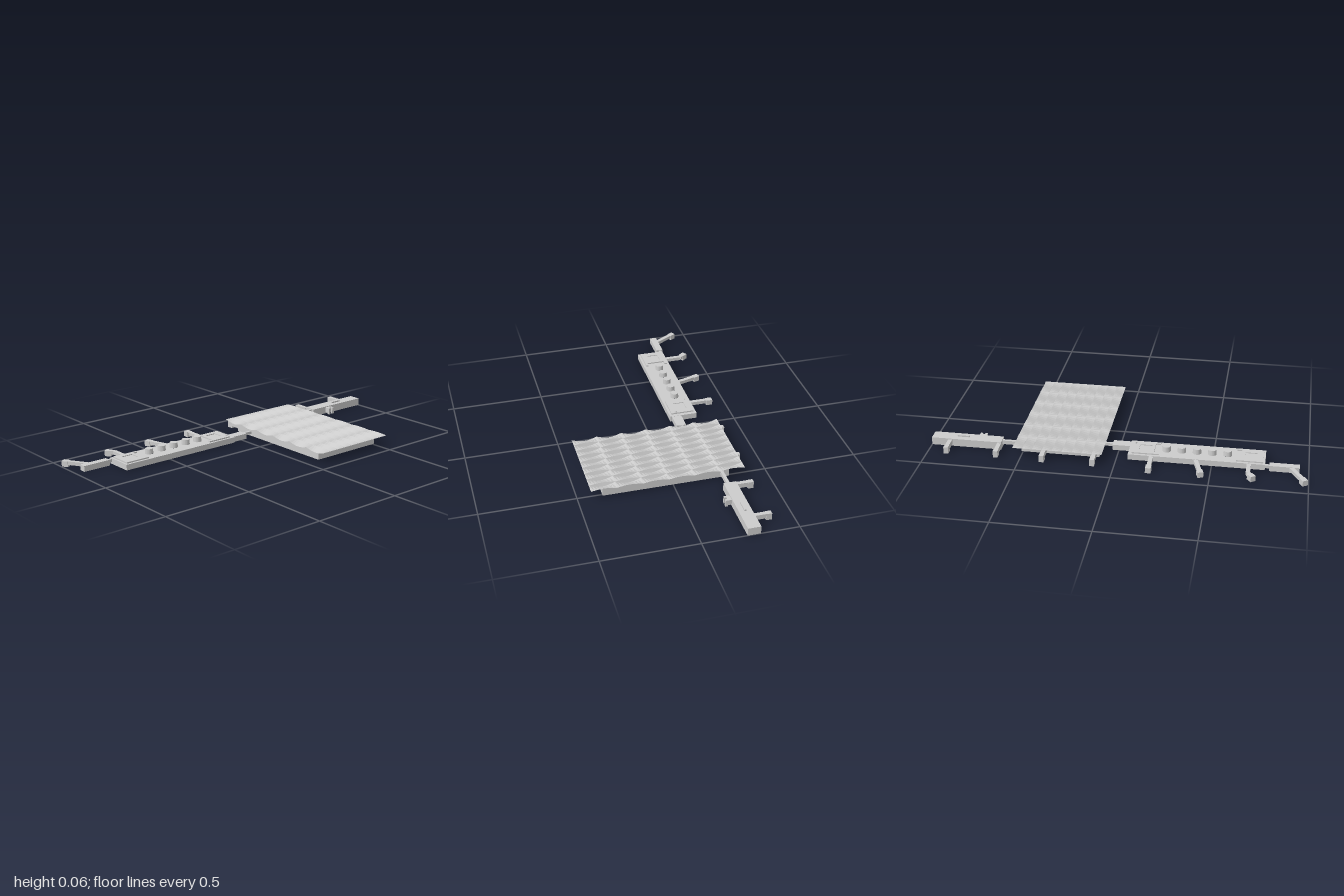
import * as THREE from 'three';

const grey = new THREE.MeshStandardMaterial({ color: 0xcccccc, side: THREE.DoubleSide, flatShading: true });
grey.name = 'concrete grey';

function add(parent, name, geometry) {
  const mesh = new THREE.Mesh(geometry, grey);
  mesh.name = name;
  parent.add(mesh);
  return mesh;
}

// Box between two corners; it can lose its floor and its top to become a hollow shell
function block(parent, name, [x0, x1], [y0, y1], [z0, z1], { floor = false, top = true } = {}) {
  const g = new THREE.BoxGeometry(x1 - x0, y1 - y0, z1 - z0);
  const faces = Array.from(g.index.array);
  if (!floor) faces.splice(18, 6);
  if (!top) faces.splice(12, 6);
  g.setIndex(faces);
  g.clearGroups();
  g.translate((x0 + x1) / 2, (y0 + y1) / 2, (z0 + z1) / 2);
  return add(parent, name, g);
}

// Boarding bridge: raised arms along plan points [x, z], with a cabin on the ground at the end
function bridge(parent, points, top, { width = 0.022, cabinWidth = 0.03, cabin = 0.035 } = {}) {
  const group = new THREE.Group();
  group.name = 'boardingBridge';
  parent.add(group);
  const half = width / 2, ch = cabinWidth / 2;
  for (let i = 0; i + 1 < points.length; i++) {
    const [ax, az] = points[i], [bx, bz] = points[i + 1];
    const length = Math.hypot(bx - ax, bz - az);
    const last = i === points.length - 2;
    const piece = new THREE.Group();
    piece.name = 'bridgeSection';
    piece.position.set(ax, 0, az);
    piece.rotation.y = Math.atan2(bx - ax, bz - az);
    group.add(piece);
    const end = last ? length - cabin : length;
    if (end > 0.005) block(piece, 'bridgeArm', [-half, half], [0.011, top], [0, end], { floor: true });
    if (last) block(piece, 'bridgeCabin', [-ch, ch], [0, top], [Math.max(end, 0), length]);
  }
}

// Hall roof: tilted sawtooth bays that flatten out between rows
const ROOF = { x0: 0.065, z0: -0.375, w: 0.475 / 9, d: 0.135, cols: 9, rows: 6 };
const swell = (z) => Math.abs(Math.sin(Math.PI * (z - ROOF.z0) / ROOF.d));
const low = (s) => 0.058 - 0.014 * s;
const high = (s) => 0.058 + 0.005 * s;
function roofY(x, z) {
  const f = (x - ROOF.x0) / ROOF.w, s = swell(z);
  return THREE.MathUtils.lerp(low(s), high(s), f - Math.floor(f));
}

function hallRoof() {
  const steps = 8, rows = ROOF.rows * steps, across = ROOF.cols * 2;
  const pos = [], index = [];
  for (let j = 0; j <= rows; j++) {
    const z = ROOF.z0 + (j * ROOF.d) / steps, s = swell(z);
    for (let k = 0; k < ROOF.cols; k++) {
      const x = ROOF.x0 + k * ROOF.w;
      pos.push(x + 0.004 * s, low(s), z, x + ROOF.w - 0.004 * s, high(s), z);
    }
  }
  for (let j = 0; j < rows; j++) {
    for (let i = 0; i + 1 < across; i++) {
      const a = j * across + i, b = a + across;
      index.push(a, b, a + 1, b, b + 1, a + 1);
    }
  }
  const g = new THREE.BufferGeometry();
  g.setAttribute('position', new THREE.Float32BufferAttribute(pos, 3));
  g.setIndex(index);
  g.computeVertexNormals();
  return g;
}

// Hall wall from plan point a to b, its upper edge following the roof
function hallWall(parent, [ax, az], [bx, bz]) {
  const g = new THREE.PlaneGeometry(1, 1, 72, 1);
  const p = g.attributes.position;
  for (let i = 0; i < p.count; i++) {
    const t = p.getX(i) + 0.5;
    const x = ax + (bx - ax) * t, z = az + (bz - az) * t;
    p.setXYZ(i, x, p.getY(i) > 0 ? roofY(x, z) - 0.001 : 0, z);
  }
  g.computeVertexNormals();
  add(parent, 'hallWall', g);
}

// Plan outline; a shape's y stands for -z
const outline = (pts, Type = THREE.Shape) => new Type(pts.map(([x, z]) => new THREE.Vector2(x, -z)));
const rect = (x0, x1, z0, z1) => [[x0, z0], [x1, z0], [x1, z1], [x0, z1]];

function mainHall() {
  const hall = new THREE.Group();
  hall.name = 'mainHall';
  add(hall, 'hallRoof', hallRoof());
  const c = [[0.09, 0.37], [0.51, 0.37], [0.51, -0.3], [0.09, -0.3]];
  c.forEach((p, i) => hallWall(hall, p, c[(i + 1) % 4]));
  for (const x of [0.113, 0.381]) bridge(hall, [[x, -0.3], [x, -0.4]], 0.037, { cabinWidth: 0.025 });
  return hall;
}

function longPier() {
  const pier = new THREE.Group();
  pier.name = 'longPier';
  const X = [-0.775, -0.06], Z = [-0.3, -0.147], H = 0.031;
  block(pier, 'pierWalls', X, [0, H], Z, { top: false });

  const drums = [-0.578, -0.497, -0.417, -0.337, -0.257], drumZ = -0.227;
  const courts = [-0.7, -0.145];
  const court = (x) => rect(x - 0.032, x + 0.032, -0.256, -0.196);

  // Flat roof, open under the drums and courts
  const roof = outline(rect(...X, ...Z));
  for (const x of drums) roof.holes.push(new THREE.Path().absarc(x, -drumZ, 0.023, 0, Math.PI * 2, true));
  for (const x of courts) roof.holes.push(outline(court(x), THREE.Path));
  add(pier, 'pierRoof', new THREE.ShapeGeometry(roof, 20).rotateX(-Math.PI / 2).translate(0, H, 0));

  // Skylight drums, hollow below
  const profile = [[0.023, 0], [0.021, 0.028], [0, 0.028]].map(([r, y]) => new THREE.Vector2(r, y));
  for (const x of drums) add(pier, 'skylightDrum', new THREE.LatheGeometry(profile, 20).translate(x, H, drumZ));

  // Raised end decks with a sunken square court
  courts.forEach((x, i) => {
    const s = i ? -1 : 1; // s points along the pier, away from its end
    const deck = outline([
      [-0.065, -0.286], [0.075, -0.286], [0.075, -0.272], [0.05, -0.272], [0.05, -0.174],
      [0.075, -0.174], [0.075, -0.16], [-0.065, -0.16],
    ].map(([dx, z]) => [x + s * dx, z]));
    deck.holes.push(outline(court(x), THREE.Path));
    const g = new THREE.ExtrudeGeometry(deck, { depth: 0.007, bevelEnabled: false });
    add(pier, 'raisedDeck', g.rotateX(-Math.PI / 2).translate(0, H, 0));
    block(pier, 'courtFloor', [x - 0.032, x + 0.032], [H, H + 0.003], [-0.256, -0.196]);
  });
  add(pier, 'roofMast', new THREE.CylinderGeometry(0.005, 0.008, 0.014, 10).translate(-0.088, 0.038, -0.184));

  // Block and passage towards the hall
  block(pier, 'connectorBlock', [-0.06, 0.035], [0, 0.03], [-0.21, -0.157]);
  block(pier, 'connectorPassage', [0.035, 0.09], [0.012, 0.028], [-0.192, -0.178], { floor: true });

  // Outer annex
  block(pier, 'annex', [-0.952, -0.797], [0, 0.031], [-0.307, -0.27]);
  block(pier, 'annexPassage', [-0.797, -0.775], [0.011, 0.027], [-0.298, -0.283], { floor: true });

  const bridges = [
    [[-0.91, -0.306], [-0.983, -0.427]],
    [[-0.692, -0.3], [-0.692, -0.385], [-0.722, -0.425]],
    [[-0.417, -0.3], [-0.455, -0.428]],
    [[-0.184, -0.3], [-0.184, -0.426]],
  ];
  for (const path of bridges) bridge(pier, path, 0.03);
  return pier;
}

function shortPier() {
  const pier = new THREE.Group();
  pier.name = 'shortPier';
  block(pier, 'pierBody', [0.62, 1], [0, 0.042], [-0.3, -0.232]);
  block(pier, 'pierPassage', [0.51, 0.62], [0.016, 0.037], [-0.268, -0.252], { floor: true });
  block(pier, 'roofUnit', [0.8, 0.865], [0.042, 0.05], [-0.27, -0.26]);
  for (const x of [0.63, 0.898]) bridge(pier, [[x, -0.3], [x, -0.388]], 0.037, { cabinWidth: 0.025, cabin: 0.03 });

  // Two-pronged gate on the front
  block(pier, 'frontGate', [0.718, 0.757], [0.008, 0.037], [-0.232, -0.212], { floor: true });
  for (const x of [0.718, 0.744]) block(pier, 'frontGateProng', [x, x + 0.013], [0, 0.037], [-0.212, -0.2]);
  return pier;
}

export function createModel() {
  const model = new THREE.Group();
  model.name = 'terminal';
  model.add(mainHall(), longPier(), shortPier());
  return model;
}
